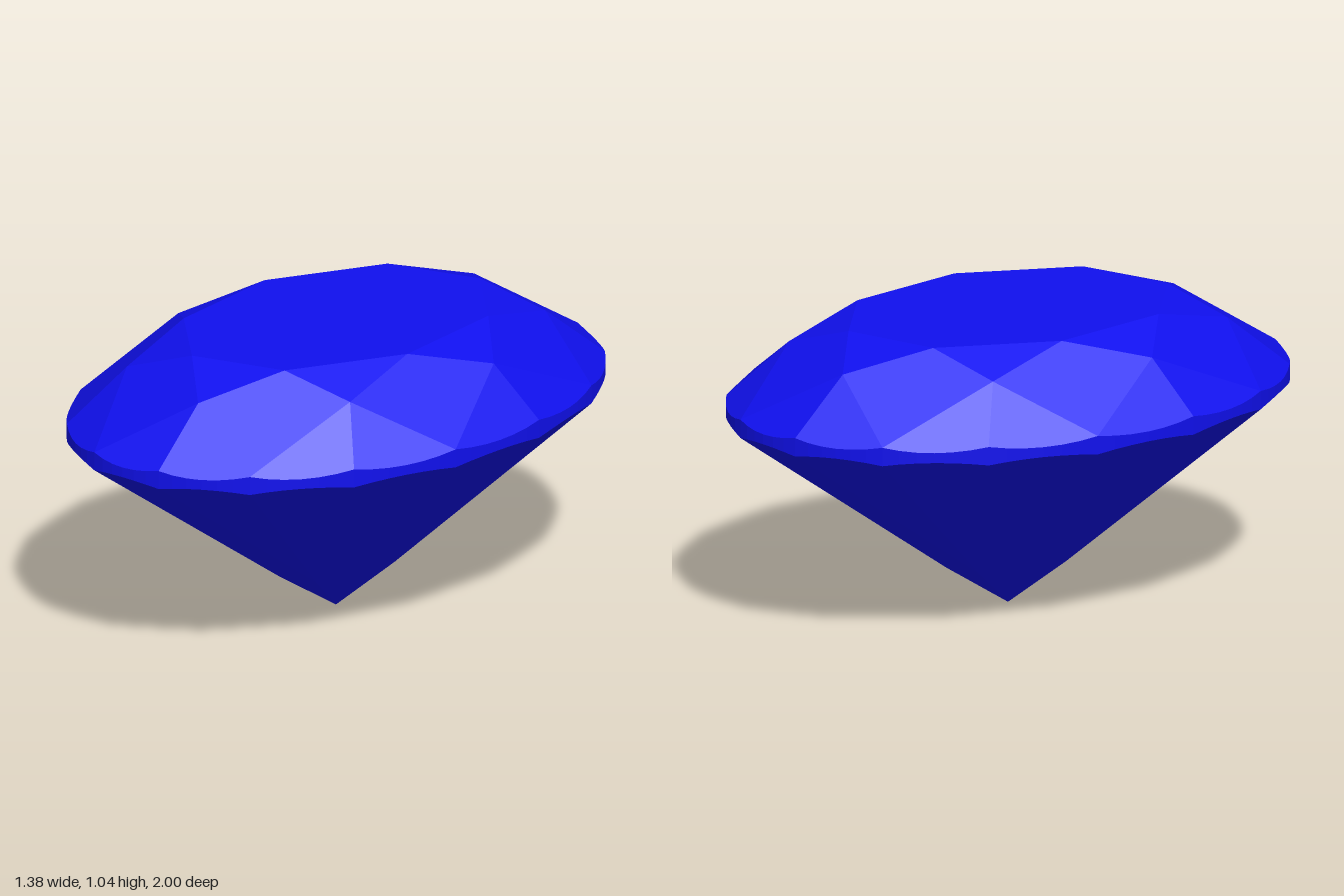
import * as THREE from 'three';

const WIDTH = 0.6875;          // half width in x, half length in z is 1
const STEP = Math.PI / 8;      // one sixteenth of a turn
const SEG = 6;                 // girdle segments per sixteenth
const TABLE = [0.596, 1.04];   // ring = [radius, height]
const STAR = [0.777, 0.963];
const TOP = [1, 0.785];
const BOTTOM = [1, 0.72];
const PAVILION = [0.23, 0.153];
const CULET = new THREE.Vector3(0, 0, 0);

// Point on an oval ring, i in sixteenths of a turn from the front
const at = ([r, y], i) =>
  new THREE.Vector3(WIDTH * r * Math.sin(i * STEP), y, r * Math.cos(i * STEP));

// Oval girdle edge from i to i + 1, cut by the plane of the facet that ends there
function arc(ring, i, tip) {
  const plane = new THREE.Plane().setFromCoplanarPoints(tip, at(ring, i), at(ring, i + 1));
  const n = plane.normal;
  return Array.from({ length: SEG + 1 }, (_, s) => {
    const p = at(ring, i + s / SEG);
    p.y = -(plane.constant + n.x * p.x + n.z * p.z) / n.y;
    return p;
  });
}

// Each facet is a convex flat polygon, drawn as a fan
function facetMesh(name, facets, material) {
  const points = [];
  for (const f of facets)
    for (let k = 1; k < f.length - 1; k++) points.push(f[0], f[k], f[k + 1]);
  const geometry = new THREE.BufferGeometry().setFromPoints(points);
  geometry.computeVertexNormals();
  const mesh = new THREE.Mesh(geometry, material);
  mesh.name = name;
  return mesh;
}

export function createModel() {
  const material = new THREE.MeshStandardMaterial({ color: 0x1010ee, flatShading: true });
  const table = [[]], stars = [], kites = [], upperHalves = [];
  const girdle = [], lowerHalves = [], mains = [];

  // Eight-fold facets of crown and pavilion
  for (let i = 0; i < 16; i += 2) {
    table[0].push(at(TABLE, i));
    stars.push([at(TABLE, i), at(STAR, i + 1), at(TABLE, i + 2)]);
    kites.push([at(TABLE, i), at(STAR, i - 1), at(TOP, i), at(STAR, i + 1)]);
    mains.push([CULET, at(PAVILION, i + 2), at(BOTTOM, i + 1), at(PAVILION, i)]);
  }

  // Sixteen halves on each side of the girdle, and the girdle band between them
  for (let i = 0; i < 16; i++) {
    const crownTip = at(STAR, i % 2 ? i : i + 1);
    const pavilionTip = at(PAVILION, i % 2 ? i + 1 : i);
    const upper = arc(TOP, i, crownTip);
    const lower = arc(BOTTOM, i, pavilionTip);
    upperHalves.push([crownTip, ...upper]);
    lowerHalves.push([pavilionTip, ...[...lower].reverse()]);
    for (let s = 0; s < SEG; s++)
      girdle.push([lower[s], lower[s + 1], upper[s + 1], upper[s]]);
  }

  const gem = new THREE.Group();
  gem.name = 'ovalGem';
  const parts = { table, stars, kites, upperHalves, girdle, lowerHalves, mains };
  for (const [name, facets] of Object.entries(parts)) gem.add(facetMesh(name, facets, material));
  return gem;
}
